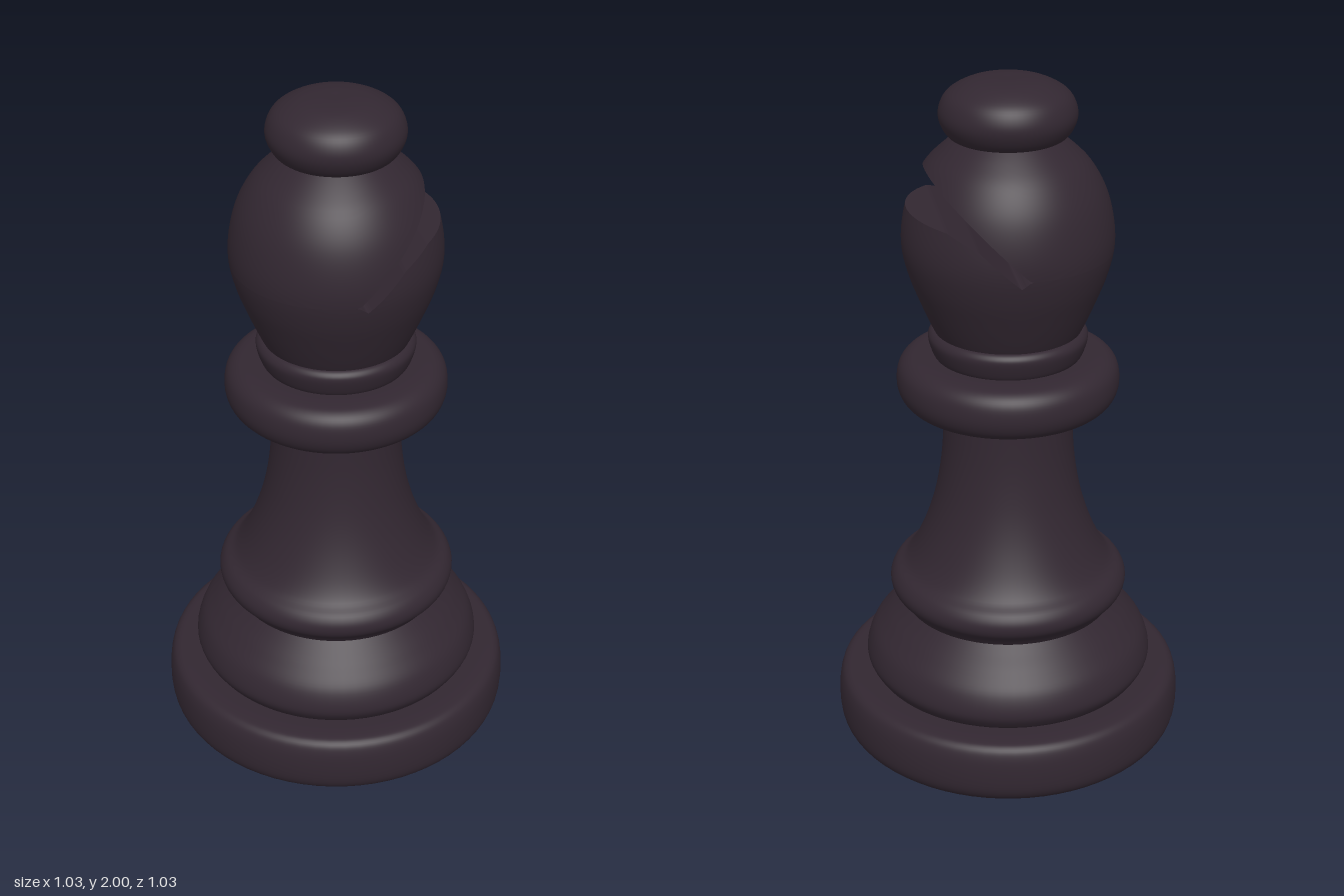
import * as THREE from 'three';

const lacquer = new THREE.MeshStandardMaterial({ color: 0x322731 });
lacquer.name = 'dark plum lacquer';

const smooth = (pts, n) =>
  new THREE.SplineCurve(pts.map(([x, y]) => new THREE.Vector2(x, y))).getPoints(n);

// turned part from a few [radius, height] points, bottom to top
function turned(name, pts) {
  const profile = smooth(pts, pts.length * 5);
  profile.forEach((p) => { p.x = Math.max(p.x, 0); });
  const mesh = new THREE.Mesh(new THREE.LatheGeometry(profile, 72), lacquer);
  mesh.name = name;
  return mesh;
}

// surface from a grid of points, optionally closed around i
function gridMesh(name, ni, nj, closed, point) {
  const pos = [], index = [];
  for (let i = 0; i < ni; i++) for (let j = 0; j < nj; j++) pos.push(...point(i, j));
  for (let i = 0; i < (closed ? ni : ni - 1); i++) {
    for (let j = 0; j < nj - 1; j++) {
      const a = i * nj + j, c = ((i + 1) % ni) * nj + j;
      index.push(a, a + 1, c, c, a + 1, c + 1);
    }
  }
  const geo = new THREE.BufferGeometry();
  geo.setAttribute('position', new THREE.Float32BufferAttribute(pos, 3));
  geo.setIndex(index);
  geo.computeVertexNormals();
  const mesh = new THREE.Mesh(geo, lacquer);
  mesh.name = name;
  return mesh;
}

// piecewise linear lookup in [key, value] pairs
function lookup(pairs, k) {
  if (k <= pairs[0][0]) return pairs[0][1];
  for (let i = 1; i < pairs.length; i++) {
    const [k0, v0] = pairs[i - 1], [k1, v1] = pairs[i];
    if (k <= k1) return v0 + ((v1 - v0) * (k - k0)) / (k1 - k0);
  }
  return pairs[pairs.length - 1][1];
}

// egg-shaped head with a slanted slot cut right through it
function createHead() {
  const head = new THREE.Group();
  head.name = 'head';
  const bottom = 1.26, top = 1.85, columns = 180, rows = 22;
  const profile = smooth([
    [0.2, 1.26], [0.22, 1.3], [0.25, 1.37], [0.28, 1.45], [0.297, 1.53],
    [0.292, 1.61], [0.27, 1.69], [0.23, 1.76], [0.18, 1.81], [0.13, 1.85],
  ], 90).map((p) => [p.y, p.x]);
  const radius = (y) => lookup(profile, y);

  // slot edges as [x, y], meeting at the inner tip
  const lowerEdge = [[-0.015, 1.52], [0.01, 1.5], [0.05, 1.535], [0.12, 1.6], [0.2, 1.64], [0.3, 1.65]];
  const upperEdge = [[-0.015, 1.52], [0.23, 1.755], [0.3, 1.82]];

  // height at which an edge crosses one column of the head
  const crossing = (edge, angle) => {
    let lo = 1.4, hi = 1.84;
    for (let k = 0; k < 30; k++) {
      const y = (lo + hi) / 2;
      if (y < lookup(edge, radius(y) * Math.cos(angle))) lo = y; else hi = y;
    }
    return (lo + hi) / 2;
  };
  const angles = Array.from({ length: columns }, (_, i) => (i / columns) * Math.PI * 2);
  const low = angles.map((a) => crossing(lowerEdge, a));
  const high = angles.map((a) => crossing(upperEdge, a));
  const onHead = (i, y) => [radius(y) * Math.cos(angles[i]), y, radius(y) * Math.sin(angles[i])];

  head.add(gridMesh('headLower', columns, rows, true, (i, j) =>
    onHead(i, bottom + ((low[i] - bottom) * j) / (rows - 1))));
  head.add(gridMesh('headUpper', columns, rows, true, (i, j) =>
    onHead(i, high[i] + ((top - high[i]) * j) / (rows - 1))));

  // slot walls, ruled from one side of the head to the other
  const count = low.findIndex((y, i) => high[i] - y < 0.0001) + 1;
  const wall = (name, heights, direction) => gridMesh(name, count, 9, false, (i, j) => {
    const [x, y, z] = onHead(i, heights[i]);
    return [x, y, z * direction * (1 - j / 4)];
  });
  head.add(wall('slotFloor', low, 1), wall('slotRoof', high, -1));
  head.rotation.y = -0.14;
  return head;
}

export function createModel() {
  const model = new THREE.Group();
  model.name = 'chessBishop';

  // base
  const underside = new THREE.Mesh(new THREE.CircleGeometry(0.48, 72), lacquer);
  underside.name = 'underside';
  underside.rotation.x = Math.PI / 2;
  model.add(underside);
  model.add(turned('base', [
    [0.48, 0], [0.5, 0.02], [0.512, 0.05], [0.515, 0.1], [0.51, 0.15], [0.495, 0.18], [0.46, 0.19], [0.36, 0.19],
  ]));
  model.add(turned('lowerBulge', [
    [0.39, 0.18], [0.41, 0.2], [0.427, 0.24], [0.41, 0.3], [0.37, 0.35], [0.33, 0.39], [0.3, 0.42],
  ]));

  // stem with its flared foot
  model.add(turned('stem', [
    [0.3, 0.4], [0.32, 0.43], [0.345, 0.46], [0.35, 0.49], [0.335, 0.52], [0.3, 0.55], [0.265, 0.61],
    [0.23, 0.7], [0.205, 0.8], [0.19, 0.92], [0.185, 1.08],
  ]));

  // collar and neck ring
  model.add(turned('collar', [
    [0.16, 1.05], [0.26, 1.05], [0.3, 1.07], [0.318, 1.11], [0.314, 1.16], [0.29, 1.19], [0.25, 1.2], [0.16, 1.2],
  ]));
  model.add(turned('neckRing', [
    [0.2, 1.19], [0.215, 1.21], [0.227, 1.25], [0.222, 1.27], [0.205, 1.28], [0.17, 1.28],
  ]));

  model.add(createHead());

  // knob on top
  model.add(turned('knob', [
    [0, 1.83], [0.11, 1.83], [0.16, 1.84], [0.187, 1.88], [0.188, 1.92], [0.165, 1.96], [0.11, 1.99], [0.05, 2], [0, 2],
  ]));
  return model;
}
